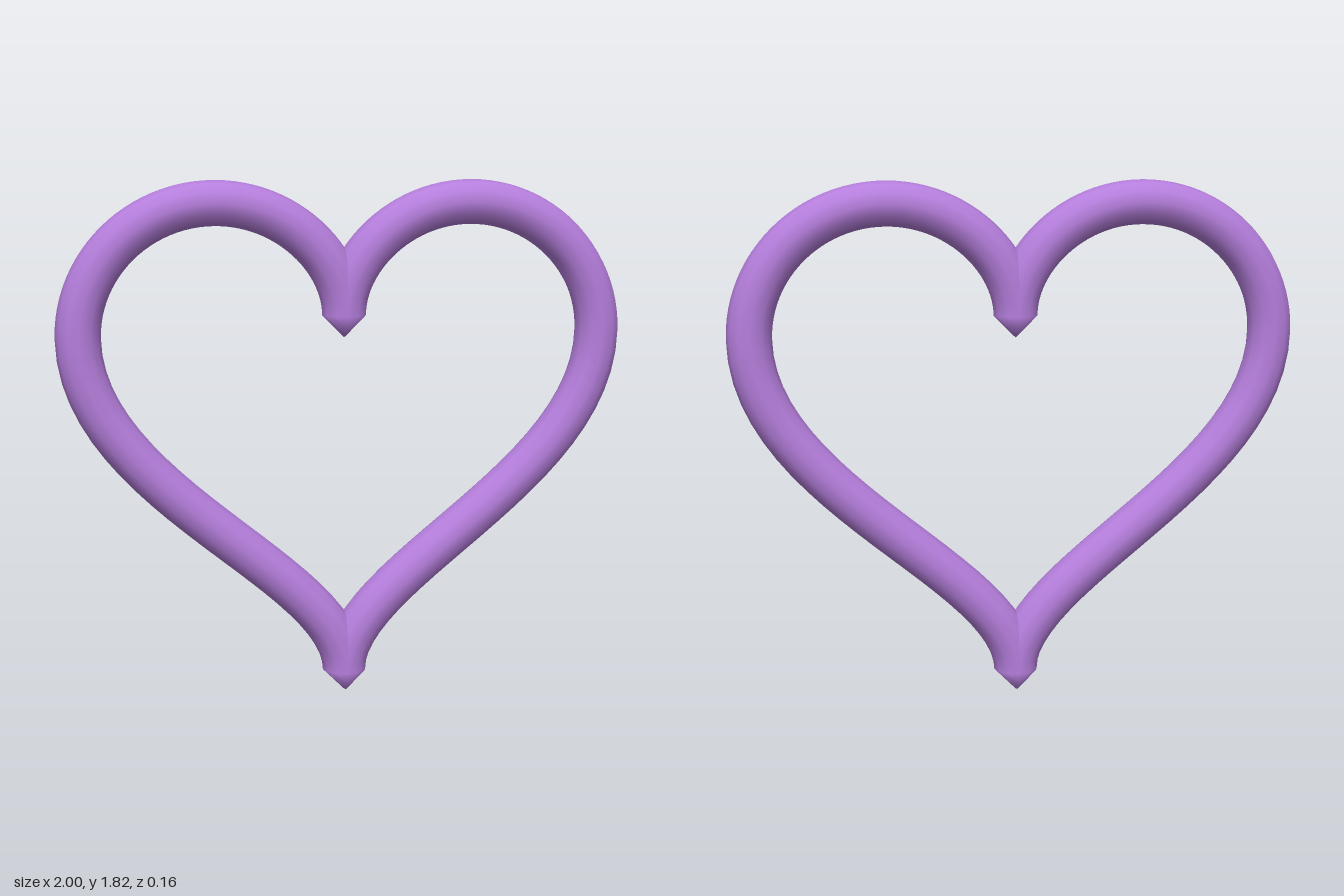
import * as THREE from 'three';

const R = 0.078;   // tube radius
const SIDES = 12;  // sides of the tube
const STEPS = 24;  // rings per curve

export function createModel() {
  const group = new THREE.Group();
  group.name = 'heart';
  const lavender = new THREE.MeshStandardMaterial({ color: 0xb57edc });
  lavender.name = 'lavender';

  // Centre line of the left half, from the notch over the lobe to the point
  const v = (x, y) => new THREE.Vector2(x, y);
  const curves = [
    new THREE.CubicBezierCurve(v(0, 1.355), v(0, 1.55), v(0.2, 1.745), v(0.45, 1.745)),
    new THREE.CubicBezierCurve(v(0.45, 1.745), v(0.71, 1.745), v(0.922, 1.54), v(0.922, 1.29)),
    new THREE.CubicBezierCurve(v(0.922, 1.29), v(0.922, 0.74), v(0, 0.44), v(0, R)),
  ];
  const half = [];
  curves.forEach((curve, k) => {
    for (let i = k ? 1 : 0; i <= STEPS; i++) {
      half.push({ p: curve.getPoint(i / STEPS), t: curve.getTangent(i / STEPS) });
    }
  });

  // Full loop: a sideways ring closes each cusp, the right half is mirrored
  const mirrored = half.map(({ p, t }) => ({ p: v(-p.x, p.y), t: v(t.x, -t.y) })).reverse();
  const rings = [
    { p: v(0, 1.355), t: v(1, 0) },
    ...half,
    { p: v(0, R), t: v(-1, 0) },
    ...mirrored,
  ];

  // Sweep the round section along the loop
  const positions = [], normals = [], index = [];
  rings.forEach(({ p, t }, i) => {
    const next = (i + 1) % rings.length;
    for (let j = 0; j < SIDES; j++) {
      const a = (j / SIDES) * Math.PI * 2;
      const nx = -t.y * Math.cos(a), ny = t.x * Math.cos(a), nz = Math.sin(a);
      positions.push(p.x + R * nx, p.y + R * ny, R * nz);
      normals.push(nx, ny, nz);
      const k = (j + 1) % SIDES;
      const a0 = i * SIDES + j, a1 = i * SIDES + k;
      const b0 = next * SIDES + j, b1 = next * SIDES + k;
      index.push(a0, a1, b0, a1, b1, b0);
    }
  });
  const geometry = new THREE.BufferGeometry();
  geometry.setAttribute('position', new THREE.Float32BufferAttribute(positions, 3));
  geometry.setAttribute('normal', new THREE.Float32BufferAttribute(normals, 3));
  geometry.setIndex(index);

  const tube = new THREE.Mesh(geometry, lavender);
  tube.name = 'heartTube';
  group.add(tube);
  return group;
}
